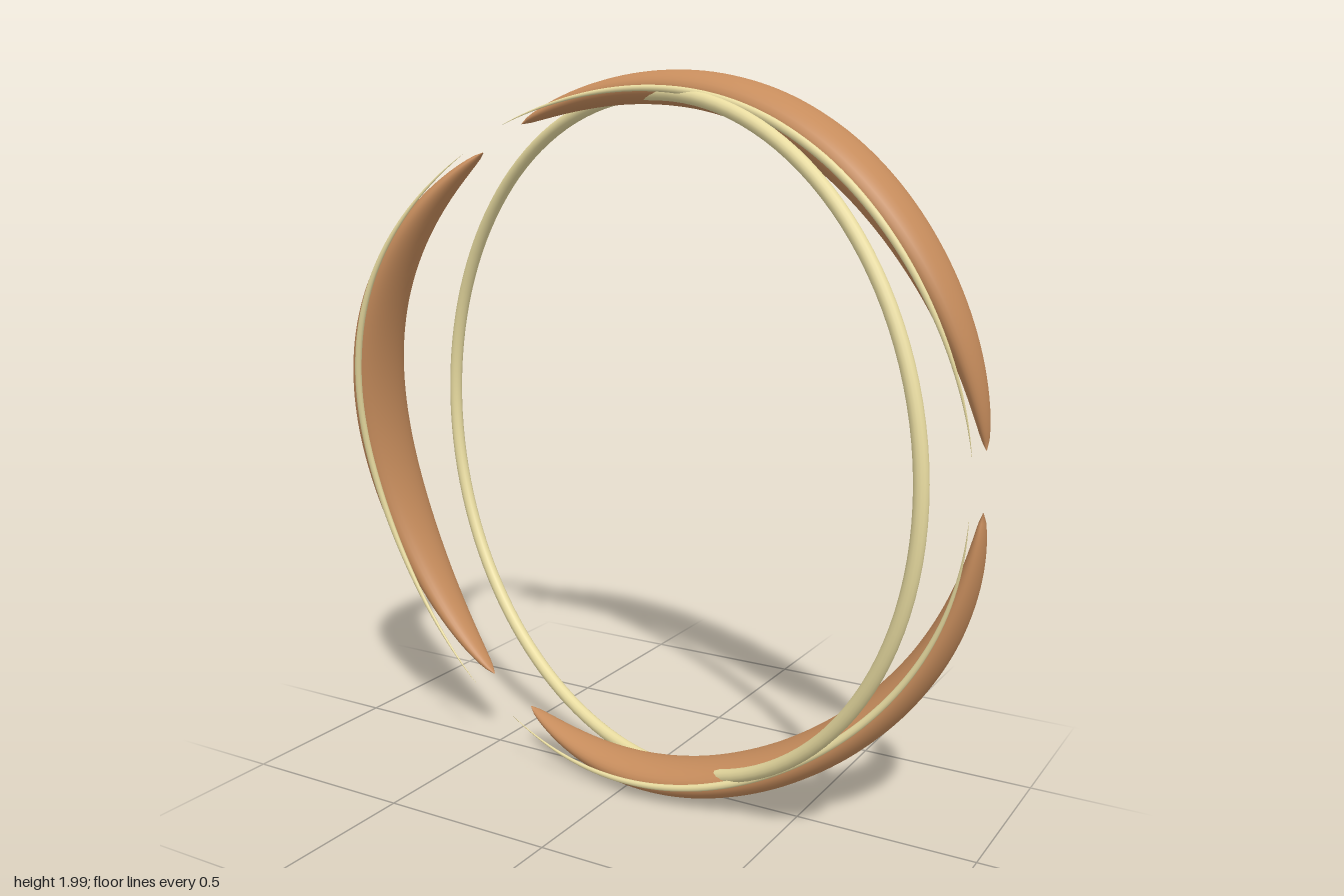
import * as THREE from 'three';
import { ParametricGeometry } from 'three/addons/geometries/ParametricGeometry.js';

const CENTER_X = 0.025, CENTER_Y = 1.002;
const HALF_SPAN = THREE.MathUtils.degToRad(55.3);

// Elliptical strand swept along an arc, pointed at both ends, swaying in z
function taperedArc({ radius, radial, depth, z, sway, power }, slices, stacks) {
  const point = (u, v, target) => {
    const angle = (u * 2 - 1) * HALF_SPAN;
    const taper = Math.max(0.015, Math.pow(Math.max(0, Math.sin(Math.PI * u)), power));
    const section = v * Math.PI * 2;
    const r = radius + radial * taper * Math.cos(section);
    target.set(
      r * Math.cos(angle),
      r * Math.sin(angle),
      z + sway * Math.sin(2 * Math.PI * u) + depth * taper * Math.sin(section)
    );
  };
  return new ParametricGeometry(point, slices, stacks);
}

export function createModel() {
  const model = new THREE.Group();
  model.name = 'ringOrnament';
  const wood = new THREE.MeshStandardMaterial({ color: 0xc68c5c });
  const pale = new THREE.MeshStandardMaterial({ color: 0xe8dba0 });

  const add = (name, geometry, material, parent) => {
    const mesh = new THREE.Mesh(geometry, material);
    mesh.name = name;
    parent.add(mesh);
    return mesh;
  };

  // Three crescents around the circle, each with a thin trim strand in front
  const crescent = taperedArc(
    { radius: 0.95, radial: 0.056, depth: 0.1, z: 0, sway: 0.044, power: 0.6 }, 72, 28);
  const trim = taperedArc(
    { radius: 0.945, radial: 0.011, depth: 0.009, z: 0.098, sway: 0.044, power: 0.8 }, 72, 10);

  ['upper', 'side', 'lower'].forEach((place, i) => {
    const segment = new THREE.Group();
    segment.name = place + 'Segment';
    segment.position.set(CENTER_X, CENTER_Y, 0);
    segment.rotation.z = Math.PI / 3 + i * Math.PI * 2 / 3;
    add(place + 'Crescent', crescent, wood, segment);
    add(place + 'Trim', trim, pale, segment);
    model.add(segment);
  });

  // Slim hoop turned about the vertical axis
  const hoop = add('tiltedHoop', new THREE.TorusGeometry(0.934, 0.019, 14, 128), pale, model);
  hoop.position.set(CENTER_X, CENTER_Y, 0);
  hoop.rotation.y = -0.315;

  return model;
}
